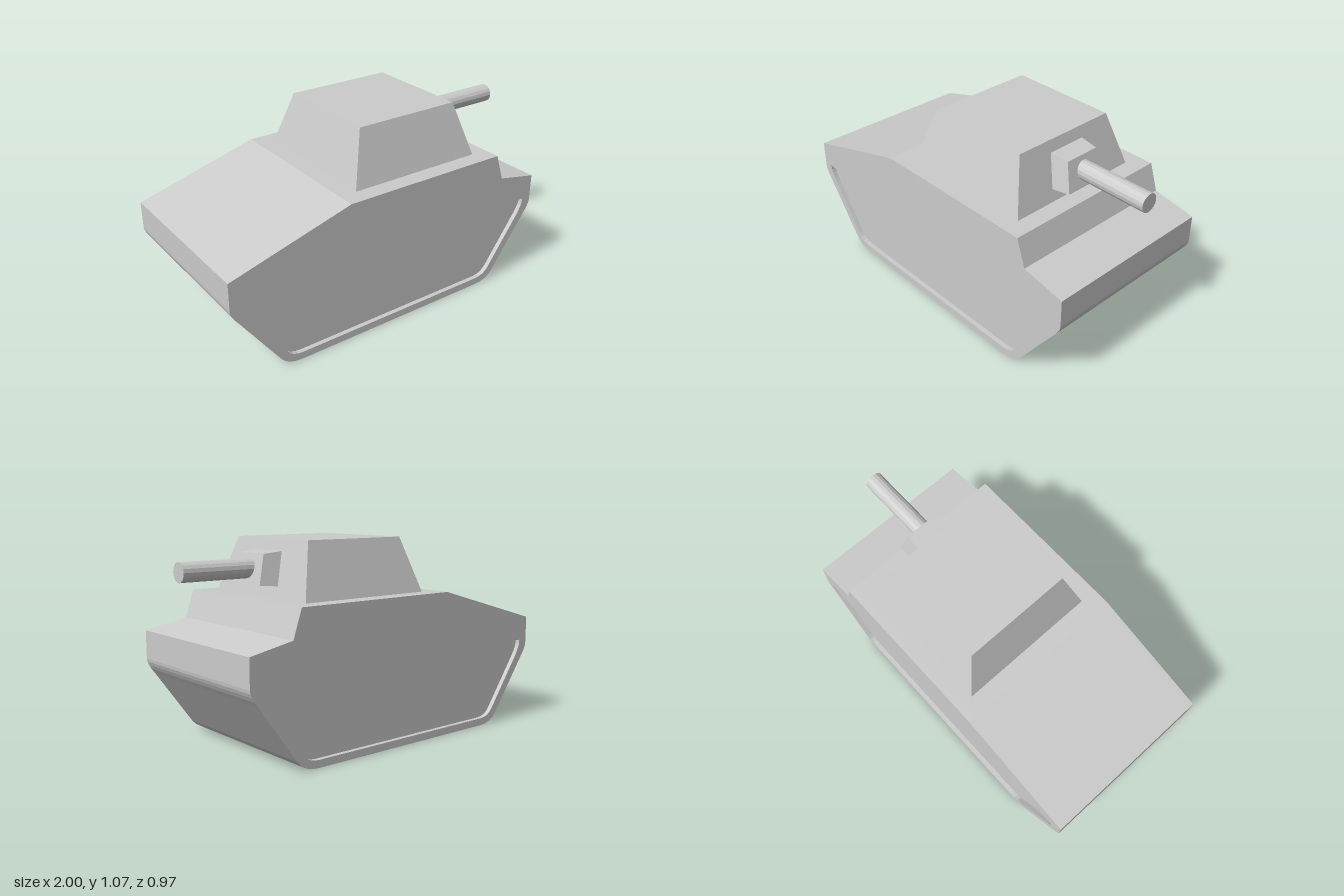
import * as THREE from 'three';

const material = new THREE.MeshStandardMaterial({ color: 0xcccccc, flatShading: true });
const MID = -0.0325; // x of the hull's middle
const HALF = 0.485; // half width of the hull
const RECESS = 0.025; // depth of the side panels

function addMesh(parent, name, geometry) {
  const mesh = new THREE.Mesh(geometry, material);
  mesh.name = name;
  parent.add(mesh);
  return mesh;
}

// Rounded lower outline, from the rear top corner down and round to the front.
function traceBelly(path, side, top, start, corner, slopeTop, slopeLow, toe, floor) {
  const fx = (x) => 2 * MID - x;
  path.moveTo(side, top);
  path.lineTo(side, start);
  path.quadraticCurveTo(side, corner, ...slopeTop);
  path.lineTo(...slopeLow);
  path.quadraticCurveTo(toe[0], floor, toe[1], floor);
  path.lineTo(fx(toe[1]), floor);
  path.quadraticCurveTo(fx(toe[0]), floor, fx(slopeLow[0]), slopeLow[1]);
  path.lineTo(fx(slopeTop[0]), slopeTop[1]);
  path.quadraticCurveTo(fx(side), corner, fx(side), start);
  path.lineTo(fx(side), top);
  return path;
}

function hullOutline() {
  const shape = traceBelly(new THREE.Shape(), -1, 0.585, 0.435, 0.405,
    [-0.957, 0.352], [-0.743, 0.055], [-0.705, -0.615], 0);
  shape.lineTo(0.695, 0.632);
  shape.lineTo(0.645, 0.78);
  shape.lineTo(-0.32, 0.78);
  shape.closePath();
  return shape;
}

function panelOutline() {
  const path = traceBelly(new THREE.Path(), -0.943, 0.455, 0.45, 0.415,
    [-0.905, 0.36], [-0.71, 0.085], [-0.68, -0.615], 0.04);
  path.closePath();
  return path;
}

function slab(shape, z, depth) {
  return new THREE.ExtrudeGeometry(shape, { depth, bevelEnabled: false, curveSegments: 4 })
    .translate(0, 0, z);
}

// Box whose eight corners are placed by a rule on the signs of x, y and z.
function shapedBox(rule) {
  const geometry = new THREE.BoxGeometry(2, 2, 2);
  const p = geometry.attributes.position;
  for (let i = 0; i < p.count; i++) {
    p.setXYZ(i, ...rule(p.getX(i) > 0, p.getY(i) > 0, Math.sign(p.getZ(i))));
  }
  geometry.computeVertexNormals();
  return geometry;
}

export function createModel() {
  const tank = new THREE.Group();
  tank.name = 'tank';

  // Hull: solid core with a rimmed plate on each side that leaves the panel sunk in
  const hull = new THREE.Group();
  hull.name = 'hull';
  tank.add(hull);
  const inner = HALF - RECESS;
  addMesh(hull, 'hullCore', slab(hullOutline(), -inner, inner * 2));
  const rim = hullOutline();
  rim.holes.push(panelOutline());
  addMesh(hull, 'leftSideRim', slab(rim, inner, RECESS));
  addMesh(hull, 'rightSideRim', slab(rim, -HALF, RECESS));

  // Turret: tapered block
  const turret = new THREE.Group();
  turret.name = 'turret';
  tank.add(turret);
  addMesh(turret, 'turretBody', shapedBox((front, top, s) => [
    front ? (top ? 0.465 : 0.55) : (top ? -0.14 : -0.225),
    top ? 1.07 : 0.78,
    s * (top ? 0.302 : 0.39),
  ]));

  // Gun mount: tapered block lying on the sloped turret face
  addMesh(turret, 'gunMount', shapedBox((front, top, s) => [
    front ? (top ? 0.585 : 0.63) : (top ? 0.482 : 0.532),
    top ? (front ? 1.0 : 1.01) : (front ? 0.848 : 0.84),
    s * (top ? (front ? 0.1 : 0.11) : (front ? 0.128 : 0.142)),
  ]));

  // Gun barrel
  const barrel = addMesh(turret, 'gunBarrel', new THREE.CylinderGeometry(0.05, 0.05, 0.42, 16));
  barrel.rotation.z = -Math.PI / 2;
  barrel.position.set(0.79, 0.925, 0);

  return tank;
}
